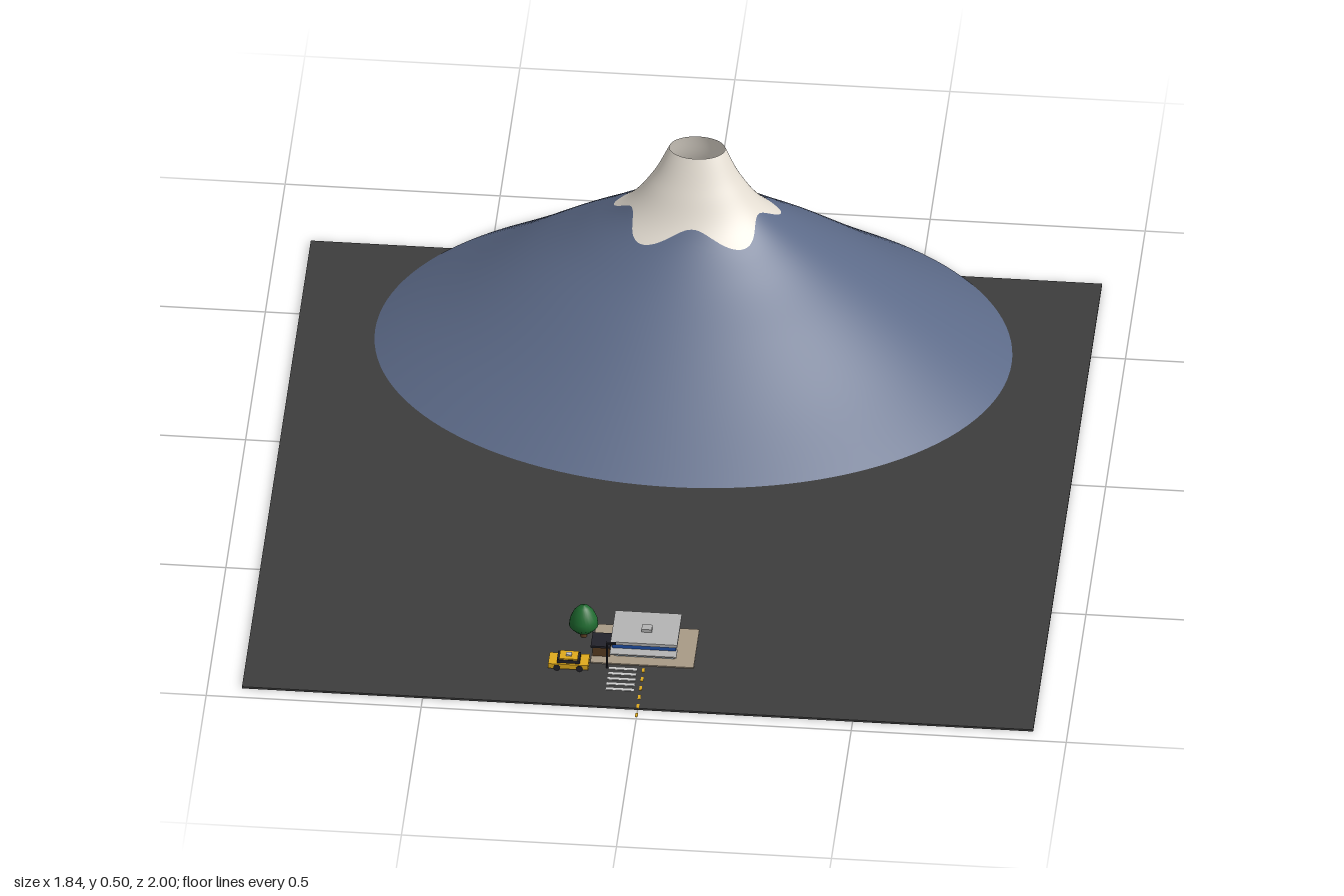
import * as THREE from 'three';

const mat = (color, side = THREE.FrontSide) => new THREE.MeshStandardMaterial({ color, side });
const M = {
  ground: mat(0x3d3d3d), rock: mat(0x5c6a88, THREE.DoubleSide), snow: mat(0xe4ddd2, THREE.DoubleSide),
  pad: mat(0xa89a86), white: mat(0xe6e6e6), roof: mat(0xb4b4b4), blue: mat(0x1f4fa8), glass: mat(0x9cc4e0),
  dark: mat(0x22222a), brown: mat(0x5a3d22), green: mat(0x1f6b30), yellow: mat(0xe0aa1c), stripe: mat(0xdddddd),
};

function add(parent, name, geometry, material, x = 0, y = 0, z = 0) {
  const mesh = new THREE.Mesh(geometry, material);
  mesh.name = name;
  mesh.position.set(x, y, z);
  parent.add(mesh);
  return mesh;
}

// Box given by its min and max along each axis
function box(parent, name, material, [x0, x1], [y0, y1], [z0, z1]) {
  return add(parent, name, new THREE.BoxGeometry(x1 - x0, y1 - y0, z1 - z0), material,
    (x0 + x1) / 2, (y0 + y1) / 2, (z0 + z1) / 2);
}

function group(parent, name) {
  const g = new THREE.Group();
  g.name = name;
  parent.add(g);
  return g;
}

// Mountain sections: height, x radius, z radius, z centre
const SECTIONS = [
  [0.005, 0.74, 0.55, -0.45], [0.1, 0.57, 0.425, -0.475], [0.2, 0.405, 0.3, -0.5], [0.28, 0.272, 0.196, -0.515],
  [0.35, 0.17, 0.118, -0.523], [0.43, 0.105, 0.073, -0.533], [0.505, 0.065, 0.044, -0.548],
];

// Smooth interpolation of the sections at height y
function sectionAt(y) {
  let i = 0;
  while (i < SECTIONS.length - 2 && y > SECTIONS[i + 1][0]) i++;
  const a = SECTIONS[i], b = SECTIONS[i + 1];
  const p = SECTIONS[Math.max(i - 1, 0)], n = SECTIONS[Math.min(i + 2, SECTIONS.length - 1)];
  const h = b[0] - a[0], t = (y - a[0]) / h;
  return [1, 2, 3].map((k) => {
    const m0 = h * (b[k] - p[k]) / (b[0] - p[0]), m1 = h * (n[k] - a[k]) / (n[0] - a[0]);
    return (2 * t ** 3 - 3 * t * t + 1) * a[k] + (t ** 3 - 2 * t * t + t) * m0
      + (3 * t * t - 2 * t ** 3) * b[k] + (t ** 3 - t * t) * m1;
  });
}

// Five-lobed snow line, one lobe towards the back
const snowLine = (angle) => 0.345 - 0.02 * Math.cos(5 * (angle + Math.PI / 2));

// Open slope between two heights that may vary with the angle
function slope(low, high, rows) {
  const geo = new THREE.PlaneGeometry(1, 1, 120, rows);
  const pos = geo.attributes.position, uv = geo.attributes.uv;
  for (let i = 0; i < pos.count; i++) {
    const angle = -uv.getX(i) * Math.PI * 2;
    const y = THREE.MathUtils.lerp(low(angle), high(angle), uv.getY(i));
    const [rx, rz, cz] = sectionAt(y);
    pos.setXYZ(i, rx * Math.cos(angle), y, cz + rz * Math.sin(angle));
  }
  geo.computeVertexNormals();
  return geo;
}

function buildStore(root) {
  const store = group(root, 'store');
  box(store, 'pavement', M.pad, [-0.125, 0.115], [0.005, 0.008], [0.65, 0.8]);
  box(store, 'walls', M.white, [-0.073, 0.068], [0.008, 0.034], [0.662, 0.77]);
  box(store, 'blueBand', M.blue, [-0.077, 0.072], [0.032, 0.046], [0.659, 0.776]);
  box(store, 'roof', M.roof, [-0.08, 0.075], [0.046, 0.054], [0.656, 0.779]);
  box(store, 'awning', M.roof, [-0.08, 0.075], [0.032, 0.035], [0.77, 0.8]);
  box(store, 'roofUnit', M.roof, [-0.012, 0.012], [0.054, 0.062], [0.715, 0.735]);
  // Front windows and door
  for (let i = 0; i < 6; i++) {
    const x = -0.067 + i * 0.0225;
    box(store, 'window', M.glass, [x, x + 0.018], [0.01, 0.03], [0.769, 0.772]);
  }
}

function buildCar(root) {
  const car = group(root, 'car');
  box(car, 'carBody', M.yellow, [-0.22, -0.127], [0.01, 0.023], [0.79, 0.835]);
  box(car, 'carCabin', M.dark, [-0.2, -0.147], [0.023, 0.032], [0.795, 0.83]);
  box(car, 'carRoof', M.yellow, [-0.195, -0.152], [0.032, 0.035], [0.796, 0.829]);
  box(car, 'roofSign', M.white, [-0.18, -0.167], [0.035, 0.039], [0.807, 0.818]);
  for (const x of [-0.2, -0.147]) for (const z of [0.793, 0.832]) {
    add(car, 'wheel', new THREE.CylinderGeometry(0.008, 0.008, 0.008, 16), M.dark, x, 0.013, z).rotation.x = Math.PI / 2;
  }
}

export function createModel() {
  const root = new THREE.Group();
  root.name = 'mountainScene';
  box(root, 'ground', M.ground, [-0.92, 0.92], [0, 0.005], [-0.78, 0.965]);

  const mountain = group(root, 'mountain');
  add(mountain, 'rockSlope', slope(() => 0.005, snowLine, 28), M.rock);
  add(mountain, 'snowCap', slope(snowLine, () => 0.505, 16), M.snow);

  buildStore(root);
  buildCar(root);

  // Tree beside the store
  const tree = group(root, 'tree');
  add(tree, 'trunk', new THREE.CylinderGeometry(0.006, 0.008, 0.03, 10), M.brown, -0.15, 0.02, 0.695);
  const crown = [[0, 0.02], [0.022, 0.024], [0.034, 0.038], [0.032, 0.055], [0.024, 0.074], [0.012, 0.088], [0, 0.093]];
  add(tree, 'crown', new THREE.LatheGeometry(crown.map(([r, y]) => new THREE.Vector2(r, y)), 24), M.green, -0.15, 0, 0.695);

  // Small shed and lamp post
  box(root, 'shed', M.brown, [-0.122, -0.082], [0.008, 0.036], [0.735, 0.775]);
  box(root, 'shedRoof', M.dark, [-0.126, -0.08], [0.036, 0.041], [0.728, 0.782]);
  const lamp = group(root, 'lampPost');
  add(lamp, 'post', new THREE.CylinderGeometry(0.002, 0.002, 0.072, 8), M.dark, -0.085, 0.041, 0.815);
  box(lamp, 'lampArm', M.dark, [-0.087, -0.064], [0.074, 0.078], [0.812, 0.818]);

  // Road markings
  for (let i = 0; i < 5; i++) {
    const z = 0.812 + i * 0.02;
    box(root, 'crossingStripe', M.stripe, [-0.08, -0.015], [0.005, 0.006], [z, z + 0.008]);
  }
  for (let i = 0; i < 6; i++) {
    const z = 0.81 + i * 0.035;
    box(root, 'laneDash', M.yellow, [-0.003, 0.003], [0.005, 0.006], [z, z + 0.015]);
  }
  return root;
}
